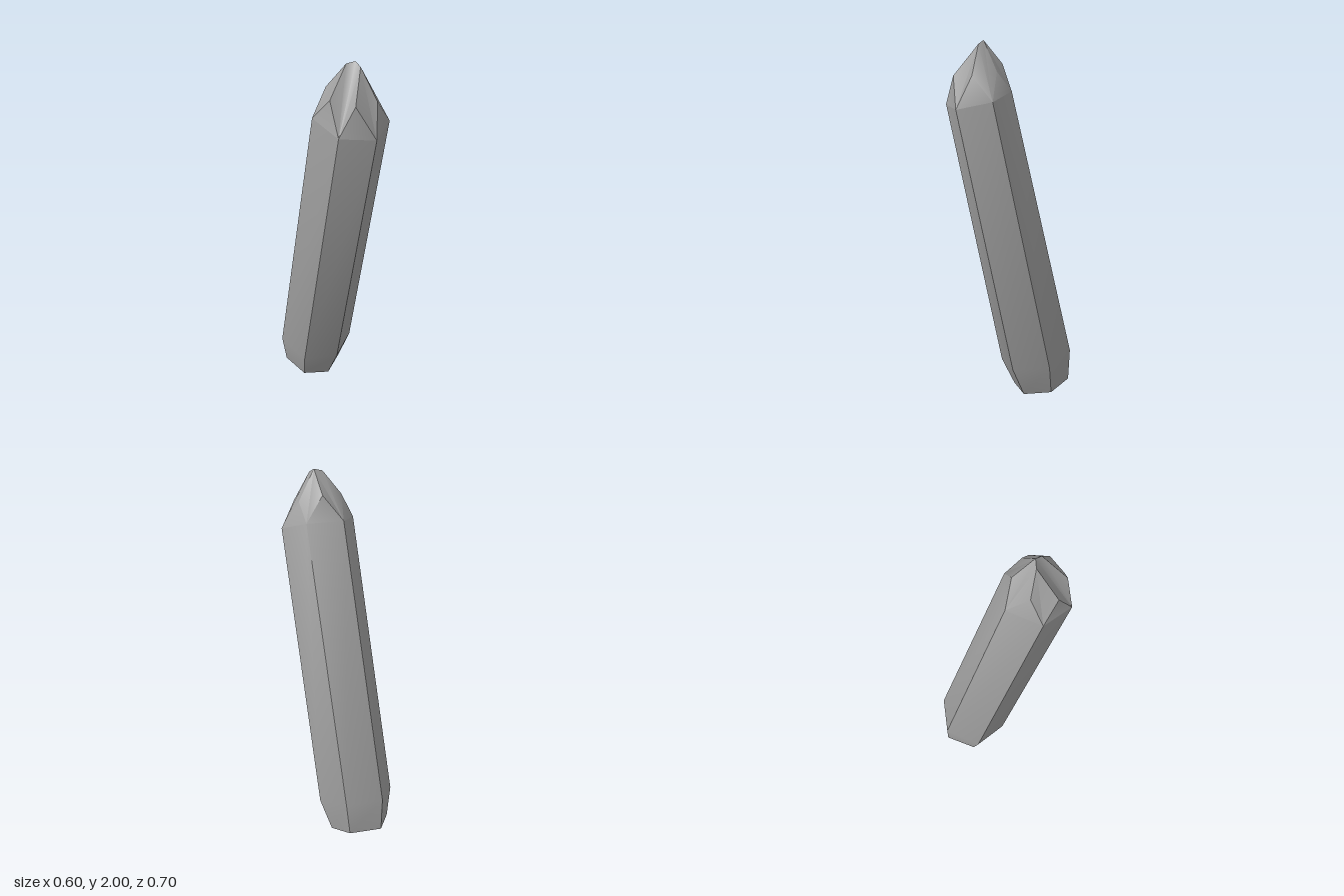
import * as THREE from 'three';
import { toCreasedNormals } from 'three/addons/utils/BufferGeometryUtils.js';

// Six-sided rings, running the same way round from the back left corner
const base = [[-0.235, 0.075, -0.31], [-0.28, 0.055, -0.14], [-0.165, 0.015, -0.04],
  [-0.02, 0, -0.08], [0.04, 0.03, -0.23], [-0.06, 0.07, -0.345]];
const lower = [[-0.24, 0.26, -0.305], [-0.3, 0.22, -0.105], [-0.155, 0.17, 0.035],
  [0.035, 0.17, -0.01], [0.105, 0.2, -0.21], [-0.04, 0.25, -0.35]];
const shoulder = [[-0.03, 1.75, 0.03], [-0.085, 1.73, 0.215], [0.05, 1.67, 0.347],
  [0.235, 1.65, 0.303], [0.3, 1.69, 0.12], [0.165, 1.74, 0.01]];
// Upper points of the side faces, each between a corner and the next one
const peaks = [[-0.02, 1.87, 0.145], [0.005, 1.84, 0.275], [0.13, 1.82, 0.31],
  [0.235, 1.82, 0.22], [0.205, 1.84, 0.09], [0.08, 1.88, 0.05]];
const tip = [[0.08, 1.99, 0.16], [0.125, 2, 0.152], [0.15, 1.98, 0.18]];
// Tip points touched by the crown facet above each corner
const crownTips = [[0, 1], [0], [2, 1, 0], [2], [1, 2], [1]];

// Smooth across shallow bends, sharp along the crystal's main edges
function facets(name, polygons, material) {
  const points = [];
  for (const p of polygons)
    for (let i = 1; i < p.length - 1; i++) points.push(...p[0], ...p[i], ...p[i + 1]);
  const geometry = new THREE.BufferGeometry();
  geometry.setAttribute('position', new THREE.Float32BufferAttribute(points, 3));
  const mesh = new THREE.Mesh(toCreasedNormals(geometry, 0.58), material);
  mesh.name = name;
  return mesh;
}

export function createModel() {
  const stone = new THREE.MeshStandardMaterial({ color: 0xa0a0a0 });
  stone.name = 'grey stone';
  const polygons = [[...base].reverse()];
  for (let i = 0; i < 6; i++) {
    const n = (i + 1) % 6, p = (i + 5) % 6;
    // Tapered foot, long side and pointed top of the side
    polygons.push([base[i], base[n], lower[n], lower[i]]);
    polygons.push([lower[i], lower[n], shoulder[n], shoulder[i]]);
    polygons.push([shoulder[i], shoulder[n], peaks[i]]);
    // Crown facet rising from the corner to the tip
    polygons.push([shoulder[i], peaks[i], ...crownTips[i].map((t) => tip[t]), peaks[p]]);
  }
  const group = new THREE.Group();
  group.name = 'crystal';
  group.add(facets('crystalShaft', polygons, stone));
  return group;
}
